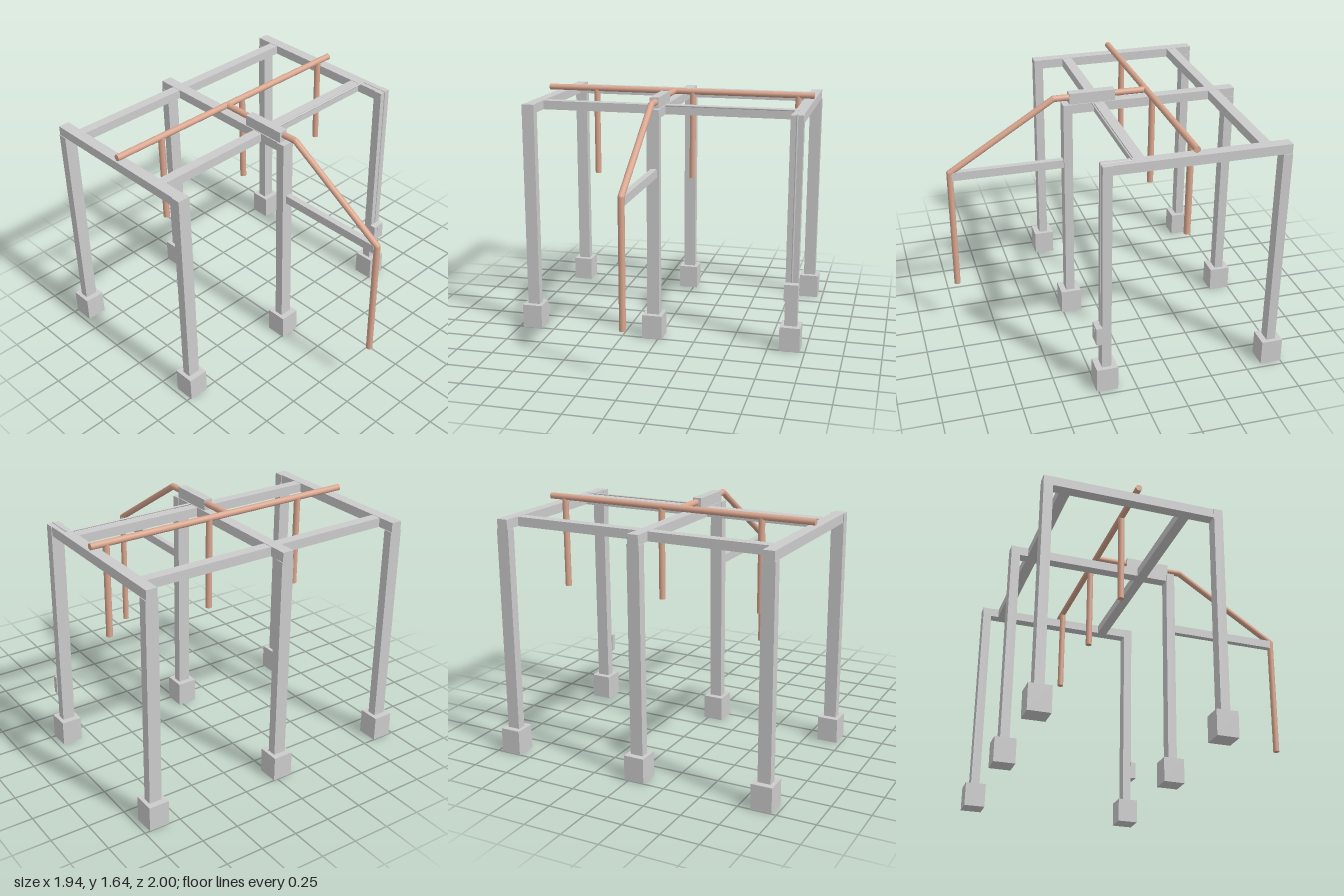
import * as THREE from 'three';

const grey = new THREE.MeshStandardMaterial({ color: 0xcccccc });
const copper = new THREE.MeshStandardMaterial({ color: 0xd9a68f });

export function createModel() {
  const model = new THREE.Group();

  const add = (name, geometry, material = grey) => {
    const mesh = new THREE.Mesh(geometry, material);
    mesh.name = name;
    model.add(mesh);
    return mesh;
  };

  // Box given by its extents along each axis
  const box = (name, [x0, x1], [y0, y1], [z0, z1]) =>
    add(name, new THREE.BoxGeometry(x1 - x0, y1 - y0, z1 - z0))
      .position.set((x0 + x1) / 2, (y0 + y1) / 2, (z0 + z1) / 2);

  // Round bar between two points
  const bar = (name, a, b, radius, material) => {
    const from = new THREE.Vector3(...a), to = new THREE.Vector3(...b);
    const dir = to.clone().sub(from);
    const mesh = add(name, new THREE.CylinderGeometry(radius, radius, dir.length(), 20), material);
    mesh.position.copy(from).add(to).multiplyScalar(0.5);
    mesh.quaternion.setFromUnitVectors(new THREE.Vector3(0, 1, 0), dir.normalize());
  };

  // Footings, posts and the lengthwise beams they carry
  const top = 1.57, under = 1.508;
  for (const x of [-0.902, -0.04, 0.897]) {
    for (const z of [0.192, -0.93]) {
      box('footing', [x - 0.068, x + 0.068], [0, 0.166], [z - 0.07, z + 0.07]);
      box('post', [x - 0.042, x + 0.042], [0.166, z > 0 ? top : under], [z - 0.03, z + 0.03]);
    }
    box('longBeam', [x - 0.037, x + 0.037], [under, top], [-0.96, 0.162]);
  }

  // Cross beams between the long beams
  for (const z of [-0.81, -0.018]) {
    for (const [x0, x1] of [[-0.865, -0.077], [-0.003, 0.86]]) {
      box('crossBeam', [x0, x1], [under, top - 0.002], [z - 0.034, z + 0.034]);
    }
  }

  // Pipe work: header, three droppers, and the line to the front outlet
  const r = 0.021, pipeY = 1.613, backZ = -0.347, mx = -0.033;
  bar('headerPipe', [-0.945, pipeY, backZ], [0.942, pipeY, backZ], r, copper);
  for (const x of [-0.595, 0.102, 0.834]) {
    bar('dropPipe', [x, pipeY, backZ], [x, 1.0, backZ], r, copper);
  }
  const run = [[mx, pipeY, backZ], [mx, pipeY, 0.28], [mx, 1.172, 0.98], [mx, 0.333, 0.98]];
  for (let i = 0; i < 3; i++) bar('feedPipe', run[i], run[i + 1], r, copper);
  for (const p of run.slice(1, 3)) {
    add('pipeElbow', new THREE.SphereGeometry(r, 20, 12), copper).position.set(...p);
  }

  // Housing around the feed pipe and the bracket that holds its outer end
  box('valveHousing', [-0.07, -0.01], [top, 1.643], [-0.128, 0.178]);
  box('supportArm', [mx - 0.021, mx + 0.021], [1.12, 1.177], [0.222, 0.97]);

  // Thin conduit along the cross beam and down the post to the control box
  const c = 0.006;
  const wire = [[0, top, 0.03], [0.897, top, 0.03], [0.897, top, 0.222], [0.897, 0.46, 0.222]];
  for (let i = 0; i < 3; i++) bar('conduit', wire[i], wire[i + 1], c, grey);

  // Control box with a bevelled front and a small button
  const cover = new THREE.BoxGeometry(0.096, 0.126, 0.04);
  const pos = cover.attributes.position;
  for (let i = 0; i < pos.count; i++) {
    if (pos.getZ(i) > 0) pos.setXY(i, pos.getX(i) * 0.96, pos.getY(i) * 0.92);
  }
  cover.computeVertexNormals();
  add('controlBox', cover).position.set(0.897, 0.405, 0.24);
  box('controlButton', [0.886, 0.908], [0.425, 0.445], [0.255, 0.264]);

  return model;
}
